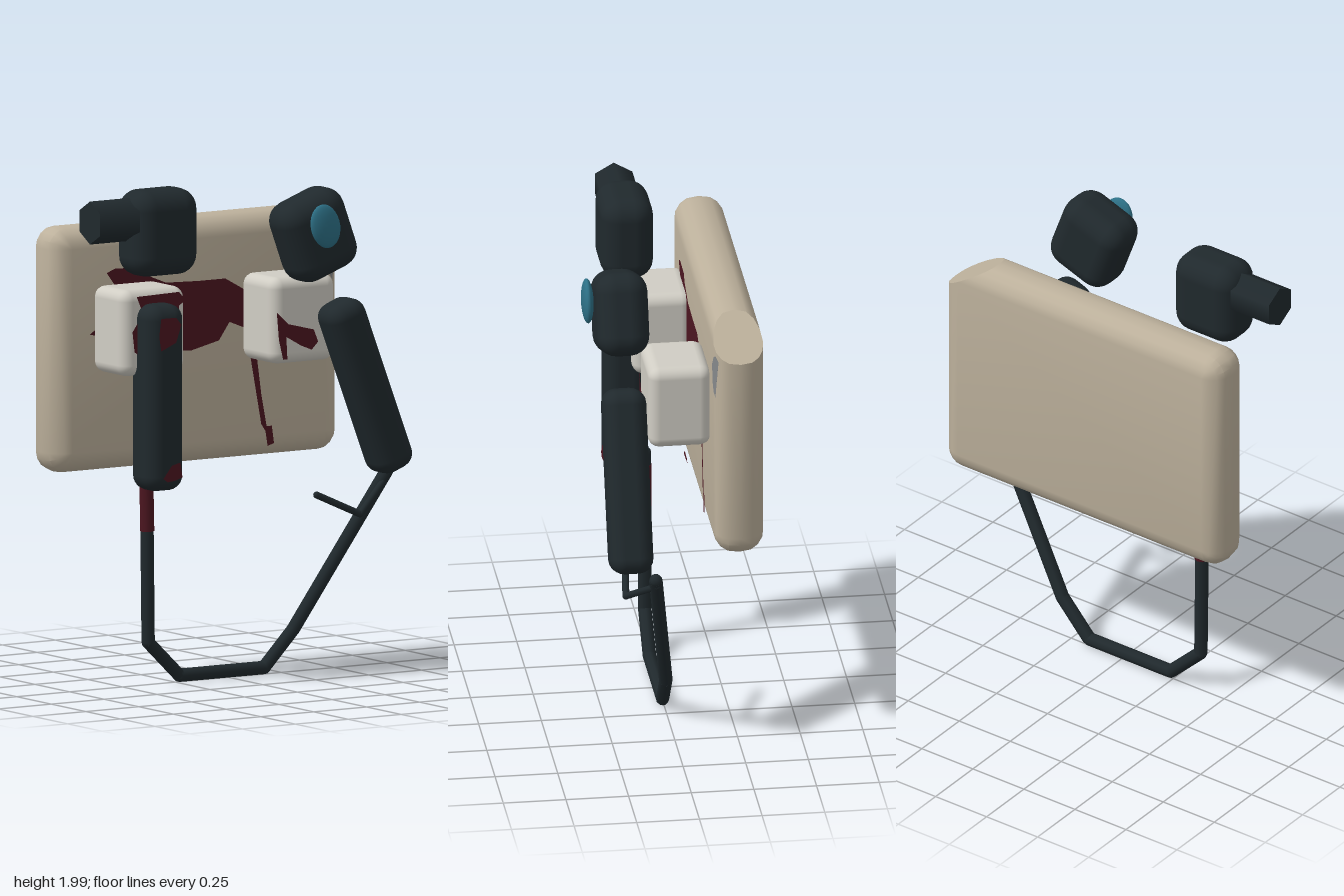
import * as THREE from 'three';
import { toCreasedNormals } from 'three/addons/utils/BufferGeometryUtils.js';
import { RoundedBoxGeometry } from 'three/addons/geometries/RoundedBoxGeometry.js';
import { ConvexGeometry } from 'three/addons/geometries/ConvexGeometry.js';

const mat = (color, side = THREE.FrontSide) => new THREE.MeshStandardMaterial({ color, side });
const SHELL = mat(0xbdb19c), PALE = mat(0xd0cdc4), DARK = mat(0x20292d), TEAL = mat(0x2d7086);
const RED = mat(0x4c1620, THREE.DoubleSide), WORN = mat(0x85888a, THREE.DoubleSide);

// Plate extents and edge radius
const X0 = -0.725, X1 = 0.64, Y0 = 0.845, Y1 = 1.83, ZC = -0.246, HALF = 0.099, R = 0.0856;

// Rounded slab whose upper left corner is sliced off flat
function plateGeometry() {
  const pts = [], n = 4;
  for (let i = -n; i <= n; i++) {
    const a = (i / n) * Math.PI / 2, c = R * Math.cos(a);
    const z = ZC + Math.sign(i) * (HALF - R) + R * Math.sin(a), d = R - c;
    for (const [sx, sy] of [[-1, -1], [-1, 1], [1, -1]]) {
      for (let j = 0; j <= n; j++) {
        const b = (j / n) * Math.PI / 2;
        pts.push(new THREE.Vector3(
          (sx < 0 ? X0 + R : X1 - R) + sx * c * Math.cos(b),
          (sy < 0 ? Y0 + R : Y1 - R) + sy * c * Math.sin(b), z));
      }
    }
    // Slice runs from (0.42, Y1) to (X1, 1.69)
    pts.push(new THREE.Vector3(0.42 + d * 0.22 / 0.14, Y1 - d, z));
    pts.push(new THREE.Vector3(X1 - d, 1.69 + d * 0.14 / 0.22, z));
  }
  return toCreasedNormals(new ConvexGeometry(pts), 0.5);
}

export function createModel() {
  const model = new THREE.Group();
  const add = (name, geo, material, x = 0, y = 0, z = 0, tilt = 0) => {
    const m = new THREE.Mesh(geo, material);
    m.name = name;
    m.position.set(x, y, z);
    m.rotation.z = tilt;
    model.add(m);
    return m;
  };
  const box = (name, material, size, r, pos, tilt = 0) =>
    add(name, new RoundedBoxGeometry(...size, 3, r), material, ...pos, tilt);

  // Cylinder between two points
  const rod = (name, a, b, r, material = DARK, sides = 8) => {
    const p = new THREE.Vector3(...a), q = new THREE.Vector3(...b), dir = q.clone().sub(p);
    const m = add(name, new THREE.CylinderGeometry(r, r, dir.length(), sides), material);
    m.position.copy(p).lerp(q, 0.5);
    m.quaternion.setFromUnitVectors(new THREE.Vector3(0, 1, 0), dir.normalize());
    return m;
  };
  // Bent cable: rods with rounded joints
  const cable = (name, pts, r) => pts.forEach((p, i) => {
    if (i) rod(name, pts[i - 1], p, r);
    add(name + 'Joint', new THREE.SphereGeometry(r, 8, 6), DARK, ...p);
  });
  // Thin painted patch lying on a front face
  const patch = (name, pts, z, material = RED) =>
    add(name, new THREE.ShapeGeometry(new THREE.Shape(pts.map(p => new THREE.Vector2(...p)))), material, 0, 0, z);

  add('backPlate', plateGeometry(), SHELL);

  // Shoulder blocks
  box('rightShoulderBlock', PALE, [0.3, 0.345, 0.24], 0.045, [-0.39, 1.422, -0.05]);
  box('leftShoulderBlock', PALE, [0.3, 0.345, 0.25], 0.045, [0.302, 1.422, -0.029]);

  // Arms
  box('rightArm', DARK, [0.175, 0.745, 0.172], 0.06, [-0.39, 1.167, 0.086]);
  box('leftArm', DARK, [0.17, 0.735, 0.175], 0.06, [0.52, 1.155, 0.193], 0.365);

  // Heads with side barrel and lens
  box('rightHead', DARK, [0.3, 0.345, 0.212], 0.08, [-0.39, 1.827, 0.086]);
  rod('barrel', [-0.71, 1.885, 0.086], [-0.45, 1.885, 0.086], 0.086, DARK, 6).rotation.set(Math.PI / 2, 0, Math.PI / 2);
  box('leftHead', DARK, [0.3, 0.335, 0.21], 0.08, [0.276, 1.777, 0.19], 0.35);
  add('lens', new THREE.SphereGeometry(1, 20, 14), TEAL, 0.252, 1.825, 0.317, 0.3).scale.set(0.067, 0.09, 0.024);

  // Hanging cable and its loose thin end
  cable('cable', [[-0.39, 0.85, 0.005], [-0.382, 0.175, 0.005], [-0.235, 0.032, 0.005],
    [0.165, 0.032, 0.005], [0.3, 0.175, 0.01], [0.683, 0.79, 0.1]], 0.027);
  cable('looseEnd', [[0.685, 0.765, 0.095], [0.495, 0.642, 0.195], [0.305, 0.73, 0.172]], 0.014);
  rod('cableStain', [-0.39, 0.8, 0.005], [-0.386, 0.62, 0.005], 0.0285, RED);

  // Stains on the plate
  patch('plateStain', [[-0.48, 1.64], [-0.44, 1.655], [-0.33, 1.65], [-0.3, 1.62], [-0.2, 1.58],
    [-0.05, 1.575], [0.08, 1.575], [0.16, 1.53], [0.25, 1.45], [0.2, 1.36], [0.1, 1.4],
    [0.05, 1.33], [-0.08, 1.3], [-0.24, 1.31], [-0.35, 1.35], [-0.56, 1.4], [-0.5, 1.44], [-0.4, 1.53]], -0.144);
  patch('plateDrip', [[0.19, 1.3], [0.225, 1.28], [0.25, 1.1], [0.275, 0.97], [0.3, 0.97],
    [0.31, 0.9], [0.28, 0.89], [0.27, 0.95], [0.25, 0.98], [0.22, 1.14]], -0.144);
  patch('lowerStain', [[-0.31, 0.89], [-0.23, 0.885], [-0.22, 0.872], [-0.32, 0.865]], -0.144);

  // Stains on the shoulder blocks and arm
  patch('rightBlockStain', [[-0.48, 1.57], [-0.28, 1.575], [-0.25, 1.54], [-0.28, 1.52], [-0.29, 1.4],
    [-0.3, 1.31], [-0.42, 1.3], [-0.49, 1.35], [-0.5, 1.43], [-0.45, 1.5]], 0.0725);
  patch('leftBlockStain', [[0.165, 1.46], [0.22, 1.41], [0.34, 1.38], [0.36, 1.33], [0.33, 1.3],
    [0.28, 1.32], [0.21, 1.36], [0.215, 1.27], [0.195, 1.27], [0.175, 1.35]], 0.0985);
  patch('armTopStain', [[-0.43, 1.49], [-0.36, 1.49], [-0.335, 1.46], [-0.36, 1.39], [-0.43, 1.36], [-0.44, 1.42]], 0.174);
  patch('armFootStain', [[-0.42, 0.85], [-0.38, 0.9], [-0.34, 0.91], [-0.33, 0.85], [-0.36, 0.84], [-0.4, 0.835]], 0.174);

  // Worn patch wrapped over the rounded plate edge
  const worn = patch('wornPatch', [[0.55, 1.66], [0.575, 1.7], [0.59, 1.71], [0.607, 1.69], [0.6, 1.62],
    [0.59, 1.53], [0.575, 1.55], [0.56, 1.59]], 0, WORN);
  const p = worn.geometry.attributes.position;
  for (let i = 0; i < p.count; i++) {
    const k = Math.max(0, p.getX(i) - (X1 - R));
    p.setZ(i, ZC + HALF - R + Math.sqrt(R * R - k * k) + 0.005);
  }
  worn.geometry.computeVertexNormals();

  return model;
}
